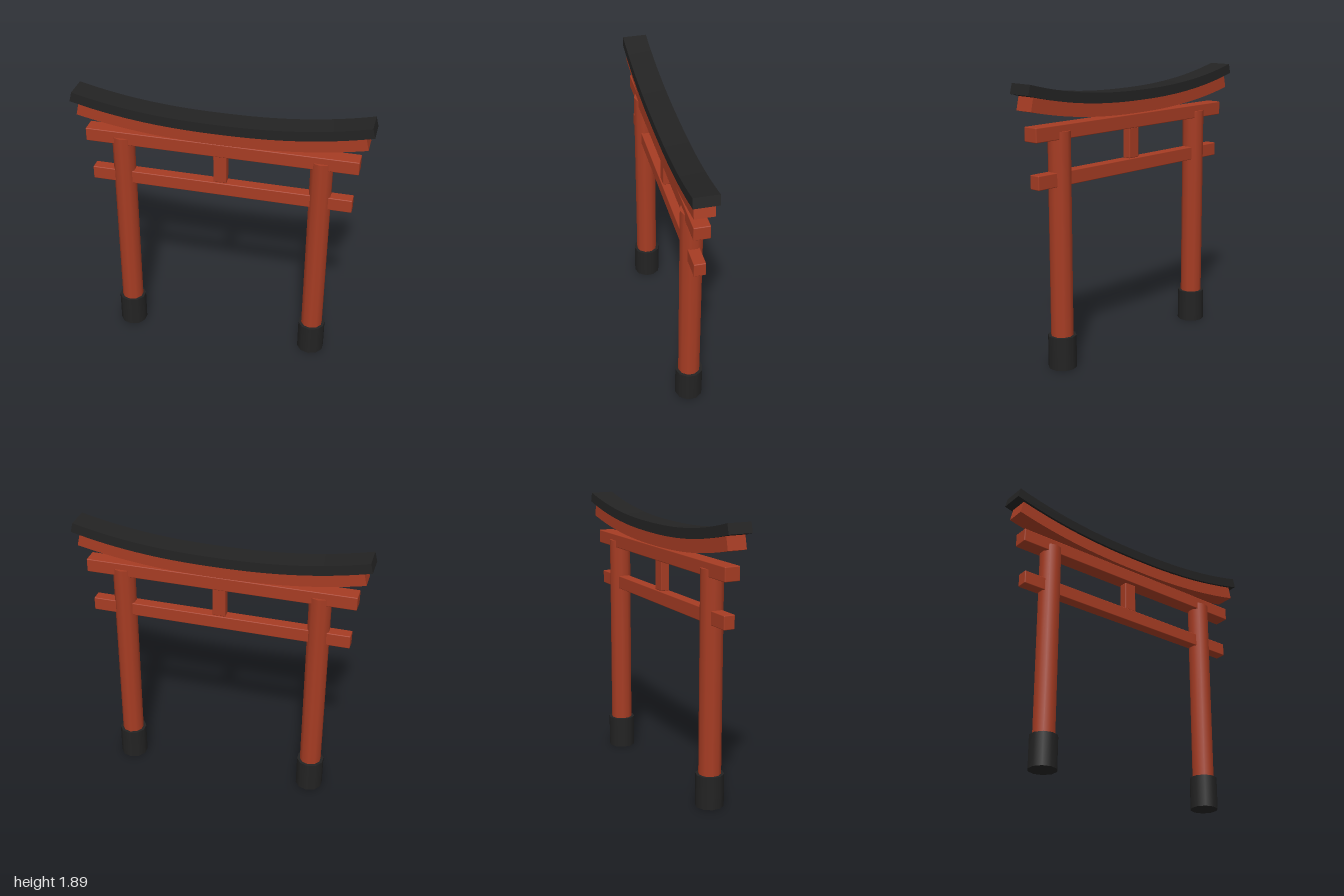
import * as THREE from 'three';
import { toCreasedNormals } from 'three/addons/utils/BufferGeometryUtils.js';
import { RoundedBoxGeometry } from 'three/addons/geometries/RoundedBoxGeometry.js';

const red = new THREE.MeshStandardMaterial({ color: 0xa63c23 });
red.name = 'vermilion wood';
const black = new THREE.MeshStandardMaterial({ color: 0x232323 });
black.name = 'black lacquer';

// Upswept beam: an arc of even thickness with ends cut square to the curve
function curvedBeam(halfLength, midY, rise, halfThick, halfDepth) {
  const steps = 32, power = 2.3, upper = [], lower = [];
  for (let i = 0; i <= steps; i++) {
    const t = (i / steps) * 2 - 1;
    const y = midY + rise * Math.abs(t) ** power;
    const slope = Math.sign(t) * (rise * power / halfLength) * Math.abs(t) ** (power - 1);
    const normal = new THREE.Vector2(-slope, 1).normalize().multiplyScalar(halfThick);
    const centre = new THREE.Vector2(t * halfLength, y);
    upper.push(centre.clone().add(normal));
    lower.push(centre.clone().sub(normal));
  }
  const shape = new THREE.Shape([...lower, ...upper.reverse()]);
  const geometry = new THREE.ExtrudeGeometry(shape, { depth: halfDepth * 2, bevelEnabled: false });
  geometry.translate(0, 0, -halfDepth);
  return toCreasedNormals(geometry, 0.5);
}

export function createModel() {
  const group = new THREE.Group();
  const add = (name, geometry, material, x = 0, y = 0) => {
    const mesh = new THREE.Mesh(geometry, material);
    mesh.name = name;
    mesh.position.set(x, y, 0);
    group.add(mesh);
  };
  const timber = (w, h, d) => new RoundedBoxGeometry(w, h, d, 2, 0.006);

  // Ten-sided pillars standing in black sleeves
  for (const [side, x] of [['left', 0.672], ['right', -0.672]]) {
    add(`${side}Base`, new THREE.CylinderGeometry(0.095, 0.095, 0.222, 10), black, x, 0.111);
    add(`${side}Pillar`, new THREE.CylinderGeometry(0.075, 0.075, 1.375, 10), red, x, 0.8875);
  }

  // Straight cross beams and the short strut between them
  add('lowerBeam', timber(1.78, 0.093, 0.078), red, 0, 1.27);
  add('upperBeam', timber(1.834, 0.094, 0.108), red, 0, 1.573);
  add('centreStrut', timber(0.09, 0.208, 0.062), red, 0, 1.421);

  // Curved lintel with its black cap
  add('curvedLintel', curvedBeam(0.955, 1.672, 0.095, 0.0445, 0.066), red);
  add('roofCap', curvedBeam(0.991, 1.748, 0.11, 0.034, 0.0825), black);

  return group;
}
